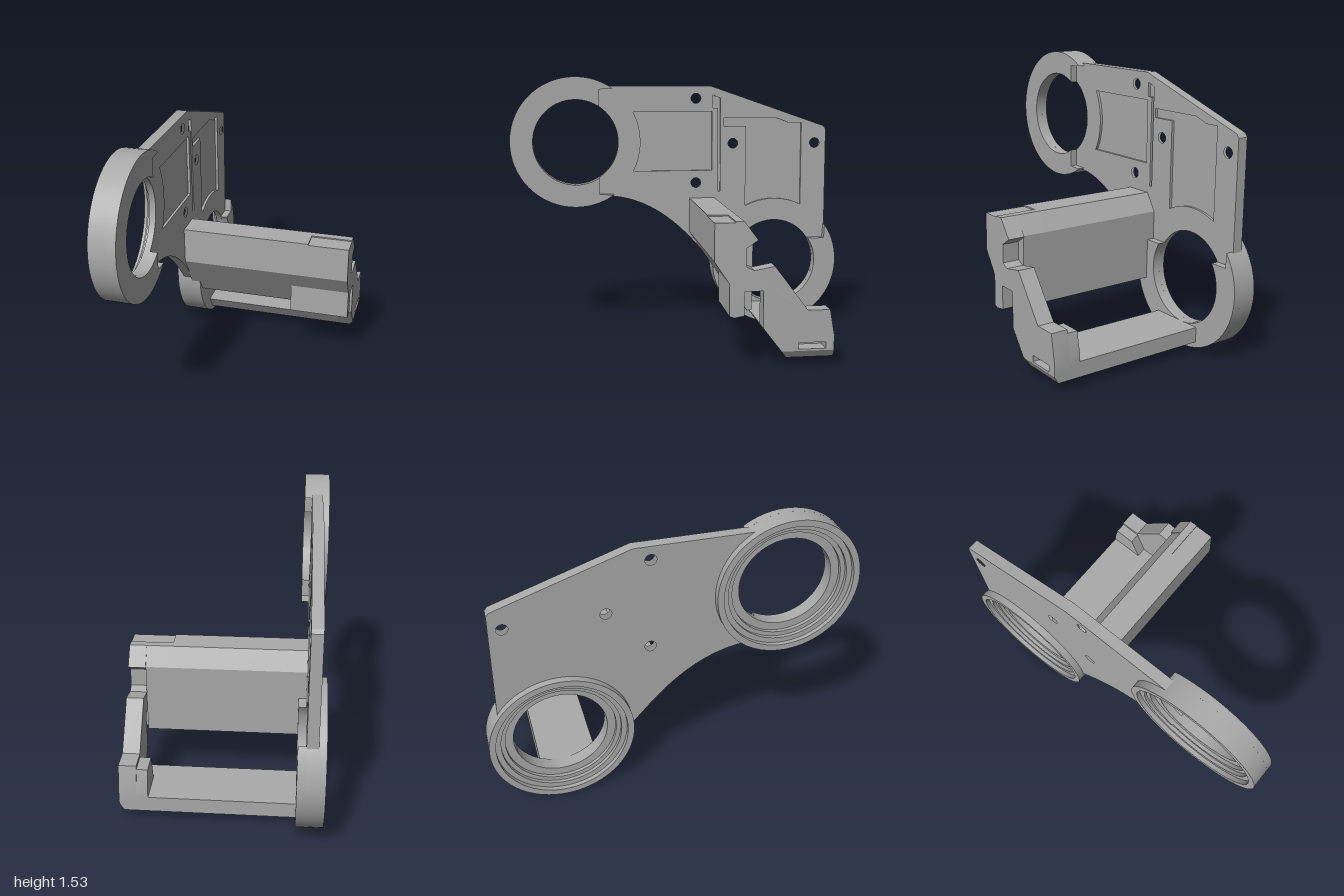
import * as THREE from 'three';
import { toCreasedNormals } from 'three/addons/utils/BufferGeometryUtils.js';

const RAD = Math.PI / 180;
const OUTER = 0.39, BORE = 0.255;
// ring centres in side coordinates: u = -z, v = y
const RINGS = [
  { u: -0.61, v: 1.14, open: 0, name: 'frontRing' },
  { u: 0.61, v: 0.39, open: 90, name: 'rearRing' },
];

const polygon = (pts) => new THREE.Shape(pts.map(([u, v]) => new THREE.Vector2(u, v)));

// extrude a side profile (u, v) across the width from x0 to x1
function slab(shape, x0, x1) {
  const geo = new THREE.ExtrudeGeometry(shape, { depth: x1 - x0, bevelEnabled: false, curveSegments: 40 });
  geo.translate(0, 0, x0);
  geo.rotateY(Math.PI / 2);
  return geo;
}

// outline of the connecting plate, scooped out around both bores
function plateShape() {
  const [a, b] = RINGS;
  const s = new THREE.Shape();
  s.moveTo(-0.42, 1.475);
  s.lineTo(0.21, 1.475);
  s.lineTo(0.92, 1.23);
  s.lineTo(0.935, 1.21);
  s.lineTo(0.935, 0.58);
  s.absarc(b.u, b.v, 0.3, 30 * RAD, 170 * RAD, false);
  s.lineTo(0.24, 0.37);
  s.lineTo(0.16, 0.46);
  s.bezierCurveTo(0.02, 0.63, -0.16, 0.79, -0.40, 0.81);
  s.absarc(a.u, a.v, 0.3, -60 * RAD, 60 * RAD, false);
  s.closePath();
  for (const [u, v] of [[0.12, 1.40], [0.35, 1.125], [0.865, 1.125], [0.12, 0.885]]) {
    s.holes.push(new THREE.Path().absarc(u, v, 0.03, 0, Math.PI * 2, true));
  }
  return s;
}

// raised C-shaped lip, open towards the plate
function lipShape() {
  const s = new THREE.Shape();
  s.absarc(0, 0, OUTER, 55 * RAD, 305 * RAD, false);
  s.lineTo(0.14, -0.315);
  s.absarc(0, 0, BORE, 303.3 * RAD, 56.7 * RAD, true);
  s.lineTo(0.14, 0.315);
  s.closePath();
  return s;
}

export function createModel() {
  const group = new THREE.Group();
  const grey = new THREE.MeshStandardMaterial({ color: 0xaaaaaa });
  grey.name = 'plain grey';

  const add = (name, geo) => {
    const mesh = new THREE.Mesh(toCreasedNormals(geo, 0.5), grey);
    mesh.name = name;
    group.add(mesh);
    return mesh;
  };

  // bearing rings: stepped seat on the outside, C-shaped lip on the inside
  const seat = [
    [OUTER, -0.54], [OUTER, -0.44], [BORE, -0.44], [BORE, -0.475], [0.30, -0.475],
    [0.30, -0.495], [0.325, -0.495], [0.325, -0.515], [0.355, -0.515], [0.355, -0.54], [OUTER, -0.54],
  ].map(([r, h]) => new THREE.Vector2(r, h));
  for (const { u, v, open, name } of RINGS) {
    const ring = new THREE.LatheGeometry(seat, 72);
    ring.rotateZ(-Math.PI / 2);
    ring.translate(0, v, -u);
    add(name, ring);
    const lip = slab(lipShape(), -0.44, -0.398);
    lip.rotateX(open * RAD);
    lip.translate(0, v, -u);
    add(name + 'Lip', lip);
  }

  // connecting plate: solid back skin and a front skin with shallow pockets
  add('plateBack', slab(plateShape(), -0.50, -0.455));
  const face = plateShape();
  const pockets = [
    [[-0.33, 0.96], [0.22, 0.96], [0.22, 1.32], [-0.33, 1.32]],
    [[0.255, 0.83], [0.272, 0.83], [0.272, 1.40], [0.225, 1.42], [0.225, 1.34], [0.255, 1.34]],
    [[0.43, 0.69], [0.78, 0.69], [0.78, 1.25], [0.70, 1.25], [0.62, 1.28], [0.29, 1.28], [0.29, 1.23], [0.43, 1.23]],
  ];
  for (const p of pockets) face.holes.push(polygon(p));
  add('plateFace', slab(face, -0.455, -0.44));

  // upper beam, with a shallow step in its top near the free end
  const beamBase = [[0.235, 0.79], [0.30, 0.69], [0.295, 0.30], [0.27, 0.295], [0.08, 0.58]];
  add('upperBeam', slab(polygon([[0.08, 0.79], ...beamBase]), -0.45, 0.30));
  add('upperBeamStep', slab(polygon([[0.08, 0.783], [0.19, 0.783], [0.19, 0.79], ...beamBase]), 0.30, 0.44));
  add('beamBlock', slab(polygon([[0.16, 0.47], [0.16, 0.29], [0.185, 0.28], [0.235, 0.29], [0.235, 0.47]]), 0.19, 0.44));

  // end plate joining the two beams, with a small slot
  const end = polygon([
    [0.08, 0.783], [0.19, 0.783], [0.19, 0.79], [0.235, 0.79], [0.31, 0.69], [0.25, 0.65], [0.25, 0.55],
    [0.29, 0.53], [0.40, 0.55], [0.58, 0.31], [0.70, 0.31], [0.725, 0.17], [0.725, 0.09], [0.44, 0.09],
    [0.34, 0.22], [0.34, 0.42], [0.24, 0.42], [0.24, 0.29], [0.185, 0.28], [0.16, 0.29], [0.16, 0.46], [0.08, 0.58],
  ]);
  end.holes.push(polygon([[0.53, 0.10], [0.68, 0.10], [0.68, 0.135], [0.53, 0.135]]));
  add('endPlate', slab(end, 0.44, 0.535));

  // chamfered foot under the end plate
  const foot = slab(polygon([[0.44, 0.09], [0.725, 0.09], [0.725, 0.05], [0.47, 0.05]]), 0.44, 0.535);
  const pos = foot.attributes.position;
  for (let i = 0; i < pos.count; i++) {
    if (pos.getX(i) > 0.5 && pos.getY(i) < 0.06) pos.setX(i, 0.51);
  }
  foot.computeVertexNormals();
  add('foot', foot);

  // lower beam and the corner block at its free end
  add('lowerBeam', slab(polygon([[0.41, 0.135], [0.725, 0.135], [0.725, 0.05], [0.47, 0.05]]), -0.42, 0.44));
  add('cornerBlock', slab(polygon([[0.53, 0.13], [0.58, 0.29], [0.70, 0.29], [0.725, 0.17], [0.725, 0.13]]), 0.38, 0.44));

  return group;
}
